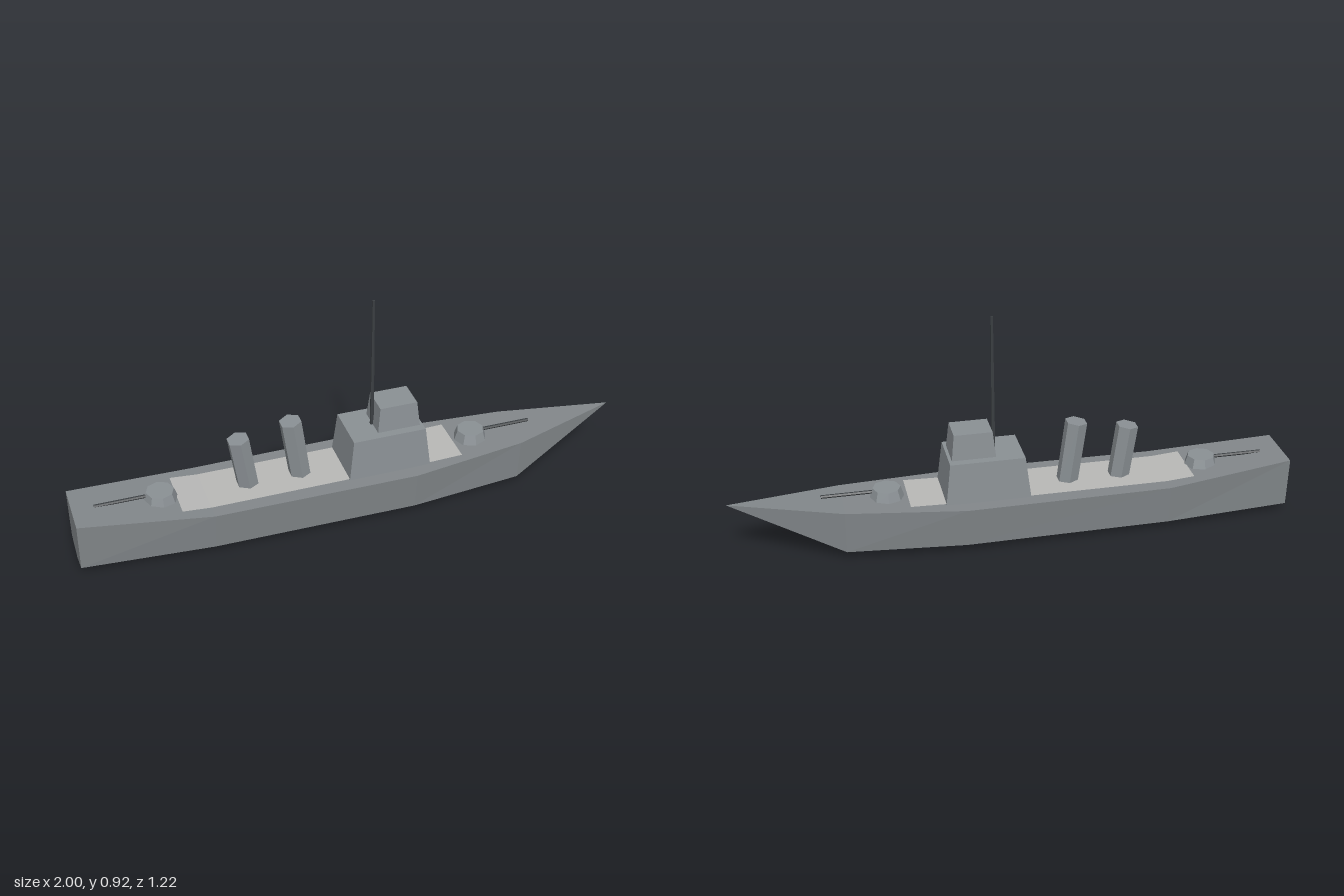
import * as THREE from 'three';

const mat = (name, color, flatShading = true) => {
  const m = new THREE.MeshStandardMaterial({ color, flatShading });
  m.name = name;
  return m;
};

// Hull stations, stern to bow: x, half beam at deck, deck height
const STATIONS = [
  [-1.07, 0.117, 0.235], [-0.555, 0.162, 0.193], [0.262, 0.17, 0.194],
  [0.728, 0.117, 0.208], [1.168, 0, 0.235],
];

function deckHeight(x) {
  let i = 0;
  while (i < STATIONS.length - 2 && x > STATIONS[i + 1][0]) i++;
  const [x0, , y0] = STATIONS[i], [x1, , y1] = STATIONS[i + 1];
  return y0 + (y1 - y0) * (x - x0) / (x1 - x0);
}

// V-bottomed hull with a flat transom, tapering to a point at the bow
function hullGeometry() {
  const rings = STATIONS.map(([x, b, y]) => {
    if (b === 0) return Array(5).fill([x, y, 0]);
    const c = b * 0.88;
    return [[x, y, b], [x, 0.03, c], [x, 0, 0], [x, 0.03, -c], [x, y, -b]];
  });
  const pos = [];
  const tri = (...pts) => pts.forEach((p) => pos.push(...p));
  for (let i = 0; i < rings.length - 1; i++) {
    for (let j = 0; j < 5; j++) {
      const k = (j + 1) % 5;
      tri(rings[i][j], rings[i][k], rings[i + 1][j]);
      if (i < rings.length - 2) tri(rings[i][k], rings[i + 1][k], rings[i + 1][j]);
    }
  }
  for (let j = 1; j < 4; j++) tri(rings[0][0], rings[0][j + 1], rings[0][j]);
  const g = new THREE.BufferGeometry();
  g.setAttribute('position', new THREE.Float32BufferAttribute(pos, 3));
  g.computeVertexNormals();
  return g;
}

// Thin walkway following the sheer of the deck
function walkwayGeometry() {
  const xs = [-0.668, -0.555, 0.262, 0.474];
  const g = new THREE.PlaneGeometry(1, 0.22, xs.length - 1, 1).rotateX(-Math.PI / 2);
  const p = g.attributes.position;
  for (let i = 0; i < p.count; i++) {
    const x = xs[i % xs.length];
    p.setX(i, x);
    p.setY(i, deckHeight(x) + 0.004);
  }
  g.computeVertexNormals();
  return g;
}

// Box whose top is narrower than its base, standing on y = 0
function taperedBox(w, d, topW, topD, h) {
  const g = new THREE.BoxGeometry(w, h, d).translate(0, h / 2, 0);
  const p = g.attributes.position;
  for (let i = 0; i < p.count; i++) {
    if (p.getY(i) > h / 2) {
      p.setX(i, p.getX(i) * topW / w);
      p.setZ(i, p.getZ(i) * topD / d);
    }
  }
  g.computeVertexNormals();
  return g;
}

export function createModel() {
  const hullGrey = mat('hull grey', 0x82878a);
  const upperGrey = mat('superstructure grey', 0x8a9094);
  const deckGrey = mat('light deck', 0xb8b8b6);
  const darkGrey = mat('dark metal', 0x3c4043);

  const ship = new THREE.Group();
  ship.name = 'ship';
  const add = (name, geometry, material, x = 0, y = 0, parent = ship) => {
    const m = new THREE.Mesh(geometry, material);
    m.name = name;
    m.position.set(x, y, 0);
    parent.add(m);
    return m;
  };

  add('hull', hullGeometry(), hullGrey);
  add('walkway', walkwayGeometry(), deckGrey);

  // Superstructure and mast
  add('deckhouse', taperedBox(0.336, 0.226, 0.296, 0.204, 0.17), upperGrey, 0.168, 0.192);
  add('bridge', taperedBox(0.174, 0.138, 0.152, 0.12, 0.105), upperGrey, 0.217, 0.361);
  add('mast', new THREE.CylinderGeometry(0.005, 0.008, 0.56, 6), darkGrey, 0.128, 0.64);

  // Funnels raked aft: base x, top x, top height
  [['frontFunnel', -0.17, -0.205, 0.448], ['rearFunnel', -0.382, -0.414, 0.411]].forEach(([name, x0, x1, top]) => {
    const base = 0.185, h = top - base;
    const f = add(name, new THREE.CylinderGeometry(0.045, 0.044, Math.hypot(h, x0 - x1), 6),
      upperGrey, (x0 + x1) / 2, (base + top) / 2);
    f.rotation.z = Math.atan2(x0 - x1, h);
  });

  // Gun turrets, one pointing ahead and one astern
  [['foreGun', 0.553, 0], ['aftGun', -0.729, Math.PI]].forEach(([name, x, turn]) => {
    const gun = new THREE.Group();
    gun.name = name;
    gun.position.set(x, 0.195, 0);
    gun.rotation.y = turn;
    add('turret', new THREE.CylinderGeometry(0.055, 0.07, 0.047, 8), upperGrey, 0, 0.0235, gun);
    add('barrel', new THREE.CylinderGeometry(0.007, 0.007, 0.22, 6).rotateZ(Math.PI / 2), darkGrey, 0.145, 0.033, gun);
    ship.add(gun);
  });

  // The ship lies diagonally, bow toward the front left
  ship.rotation.y = -Math.PI / 6;
  ship.position.set(-0.0135, 0, 0.0234);
  const root = new THREE.Group();
  root.name = 'warship';
  root.add(ship);
  return root;
}
